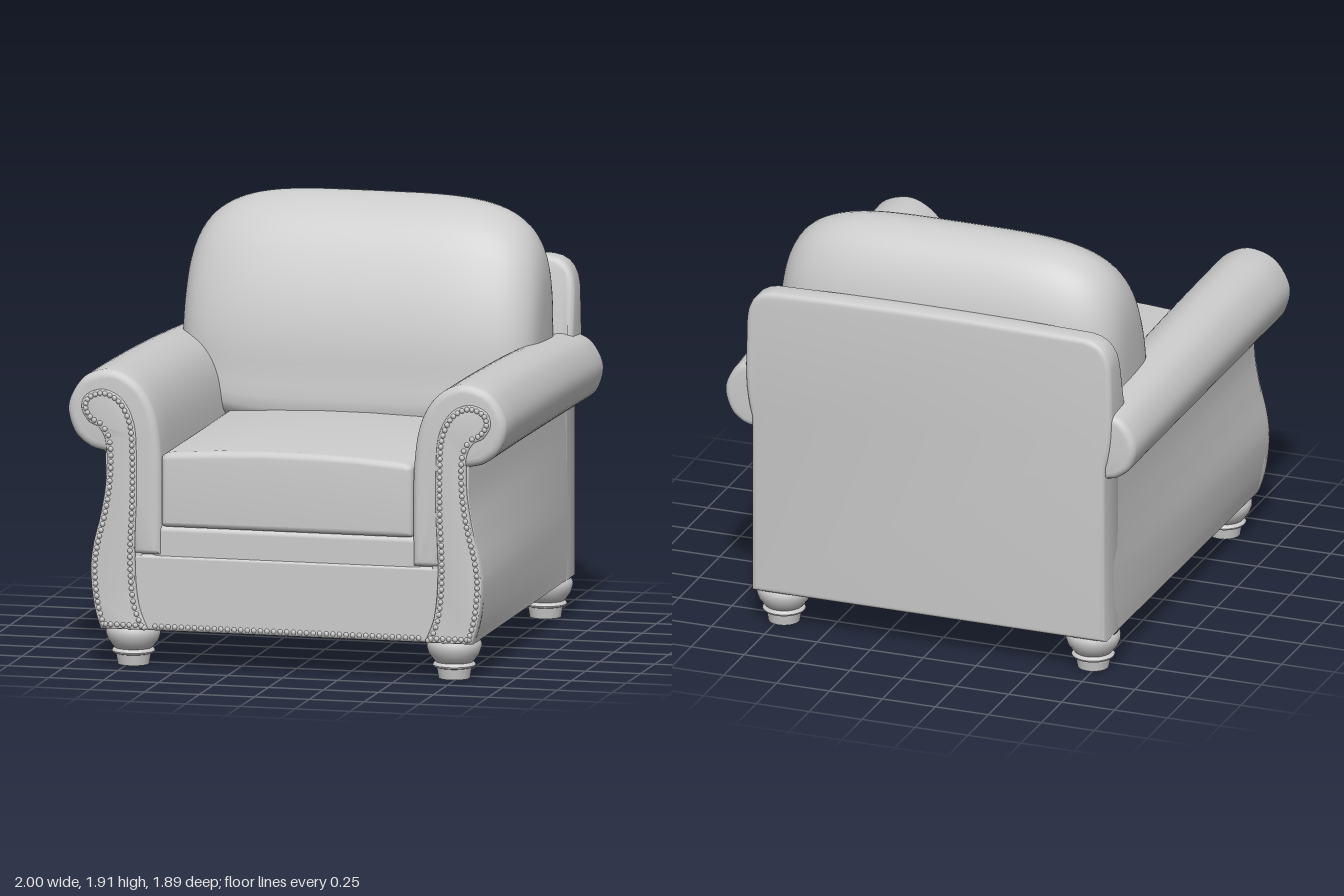
import * as THREE from 'three';
import { toCreasedNormals, mergeGeometries } from 'three/addons/utils/BufferGeometryUtils.js';
import { RoundedBoxGeometry } from 'three/addons/geometries/RoundedBoxGeometry.js';
import { ParametricGeometry } from 'three/addons/geometries/ParametricGeometry.js';

const material = new THREE.MeshStandardMaterial({ color: 0xcccccc });

function add(parent, name, geometry) {
  const mesh = new THREE.Mesh(geometry, material);
  mesh.name = name;
  parent.add(mesh);
  return mesh;
}

// Closed shape: a smooth curve through the first list, then straight lines through the second
function outline(curve, corners = [], side = 1) {
  const v = curve.map(([x, y]) => new THREE.Vector2(x * side, y));
  const shape = new THREE.Shape().moveTo(v[0].x, v[0].y);
  shape.splineThru(v.slice(1));
  corners.forEach(([x, y]) => shape.lineTo(x * side, y));
  shape.closePath();
  return shape;
}

// Extrude between two z values with rounded ends, optionally reshaped by a rule
function slab(shape, back, front, bevel, rule, steps = 1) {
  const g = new THREE.ExtrudeGeometry(shape, {
    depth: front - back - 2 * bevel, steps, curveSegments: 5,
    bevelThickness: bevel, bevelSize: bevel, bevelOffset: -bevel, bevelSegments: 4,
  });
  g.translate(0, 0, back + bevel);
  if (rule) {
    const p = g.attributes.position, v = new THREE.Vector3();
    for (let i = 0; i < p.count; i++) {
      rule(v.fromBufferAttribute(p, i));
      p.setXYZ(i, v.x, v.y, v.z);
    }
  }
  return toCreasedNormals(g, 0.7);
}

function roundedBox(w, y0, y1, z0, z1, r) {
  return new RoundedBoxGeometry(w, y1 - y0, z1 - z0, 4, r).translate(0, (y0 + y1) / 2, (z0 + z1) / 2);
}

// Row of domed nail heads
function nails(points) {
  return mergeGeometries(points.map(([x, y, z]) =>
    new THREE.SphereGeometry(0.0125, 8, 6).scale(1, 1, 0.8).translate(x, y, z)));
}

const ARM = [[0.572, 0.51], [0.572, 0.75], [0.575, 0.95], [0.597, 1.12], [0.65, 1.24], [0.73, 1.31],
  [0.82, 1.332], [0.93, 1.29], [0.997, 1.17], [0.97, 1.05], [0.9, 0.985], [0.83, 0.965]];
const PANEL = [[0.63, 0.175], [0.675, 0.3], [0.69, 0.5], [0.68, 0.75], [0.68, 0.95], [0.692, 1.1],
  [0.745, 1.205], [0.83, 1.247], [0.91, 1.22], [0.932, 1.16], [0.9, 1.1], [0.85, 1.07], [0.82, 1.0],
  [0.82, 0.85], [0.842, 0.7], [0.878, 0.55], [0.89, 0.43], [0.875, 0.28], [0.845, 0.175]];
const SIDE = [[0.83, 1.02], [0.828, 0.82], [0.855, 0.66], [0.885, 0.52], [0.892, 0.42], [0.875, 0.28], [0.845, 0.172]];

function addArm(parent, side) {
  const arm = new THREE.Group();
  arm.name = side > 0 ? 'leftArm' : 'rightArm';
  parent.add(arm);
  const alongZ = z => (0.93 - z) / 1.86;

  // Padded inner wall and roll, sinking and narrowing slightly to the rear
  add(arm, 'armRoll', slab(outline(ARM, [[0.76, 0.93], [0.7, 0.51]], side), -0.93, 0.938, 0.035, v => {
    const t = alongZ(v.z) ** 2;
    if (v.y > 0.9) v.y -= t * (0.02 + 0.05 * Math.max(0, (v.y - 0.96) / 0.37));
    const x = Math.abs(v.x);
    if (x > 0.83) v.x = side * (x - t * 0.17 * (x - 0.83));
  }, 12));

  // Outer wall, curved at the front and straight at the back
  add(arm, 'armSide', slab(outline(SIDE, [[0.66, 0.172], [0.66, 1.02]], side), -0.93, 0.925, 0.008, v => {
    const x = Math.abs(v.x);
    if (x > 0.75) v.x = side * THREE.MathUtils.lerp(x, 0.832, alongZ(v.z));
  }));

  // Scrolled front panel
  add(arm, 'armFrontPanel', slab(outline(PANEL, [], side), 0.88, 0.942, 0.008));

  // Nail heads follow the panel edge, set in along its normal
  const edge = outline(PANEL).getSpacedPoints(92).slice(0, -1);
  add(arm, 'armNails', nails(edge.map((p, i) => {
    const a = edge.at(i - 1), b = edge[(i + 1) % edge.length];
    const n = new THREE.Vector2(b.y - a.y, a.x - b.x).normalize().multiplyScalar(0.02);
    return [side * (p.x + n.x), p.y + n.y, 0.94];
  })));
}

export function createModel() {
  const chair = new THREE.Group();
  chair.name = 'armchair';

  // Base rail, deck and nail trim
  add(chair, 'baseRail', roundedBox(1.4, 0.172, 0.51, -0.93, 0.927, 0.015));
  add(chair, 'seatDeck', roundedBox(1.24, 0.46, 0.645, -0.85, 0.92, 0.03));
  add(chair, 'railNails', nails(Array.from({ length: 41 }, (_, i) => [-0.6 + i * 0.03, 0.192, 0.925])));

  // Seat cushion with a crowned top
  const seat = new THREE.Shape().moveTo(-0.55, 0.638);
  seat.lineTo(0.55, 0.638);
  seat.quadraticCurveTo(0.573, 0.638, 0.573, 0.66);
  seat.lineTo(0.573, 0.94);
  seat.quadraticCurveTo(0.573, 0.965, 0.53, 0.973);
  seat.quadraticCurveTo(0, 1.018, -0.53, 0.973);
  seat.quadraticCurveTo(-0.573, 0.965, -0.573, 0.94);
  seat.lineTo(-0.573, 0.66);
  seat.quadraticCurveTo(-0.573, 0.638, -0.55, 0.638);
  add(chair, 'seatCushion', slab(seat, -0.6, 0.938, 0.03));

  // Back cushion: a closed side profile that shrinks towards both ends
  const profile = new THREE.CatmullRomCurve3([[-0.17, 0.95], [-0.165, 1.15], [-0.185, 1.35], [-0.25, 1.57],
    [-0.36, 1.78], [-0.47, 1.875], [-0.6, 1.91], [-0.73, 1.86], [-0.82, 1.72], [-0.865, 1.5],
    [-0.865, 1.1], [-0.8, 0.9], [-0.4, 0.88]].map(([z, y]) => new THREE.Vector3(0, y, z)), true);
  const pillow = new ParametricGeometry((u, v, out) => {
    const a = (u - 0.5) * Math.PI;
    const s = Math.sqrt(Math.max(0, Math.cos(a)));
    profile.getPoint(v % 1, out);
    out.set(0.81 * Math.sign(a) * Math.sqrt(Math.abs(Math.sin(a))), 1.3 + (out.y - 1.3) * s, -0.5 + (out.z + 0.5) * s);
  }, 48, 52);
  add(chair, 'backCushion', toCreasedNormals(pillow, 1.2));

  // Back rest: wider above the arms, thinner towards its top
  const back = new THREE.Shape().moveTo(-0.835, 0.172);
  back.lineTo(0.835, 0.172);
  back.lineTo(0.835, 1.0);
  back.quadraticCurveTo(0.865, 1.1, 0.865, 1.25);
  back.lineTo(0.86, 1.47);
  back.quadraticCurveTo(0.85, 1.6, 0.74, 1.61);
  back.quadraticCurveTo(0, 1.635, -0.74, 1.61);
  back.quadraticCurveTo(-0.85, 1.6, -0.86, 1.47);
  back.lineTo(-0.865, 1.25);
  back.quadraticCurveTo(-0.865, 1.1, -0.835, 1.0);
  add(chair, 'backRest', slab(back, -0.945, -0.76, 0.025, v => {
    if (v.z > -0.86) v.z -= Math.max(0, v.y - 1.25) * 0.2;
  }));

  for (const side of [1, -1]) {
    addArm(chair, side);

    // Turned feet
    for (const z of [0.8, -0.81]) {
      const foot = new THREE.LatheGeometry([[0, 0], [0.07, 0], [0.078, 0.048], [0.092, 0.052], [0.096, 0.06],
        [0.092, 0.068], [0.083, 0.074], [0.094, 0.086], [0.112, 0.11], [0.122, 0.14], [0.121, 0.16],
        [0.112, 0.175]].map(([r, y]) => new THREE.Vector2(r, y)), 32);
      add(chair, 'foot', toCreasedNormals(foot, 0.7)).position.set(side * 0.73, 0, z);
    }
  }
  return chair;
}
